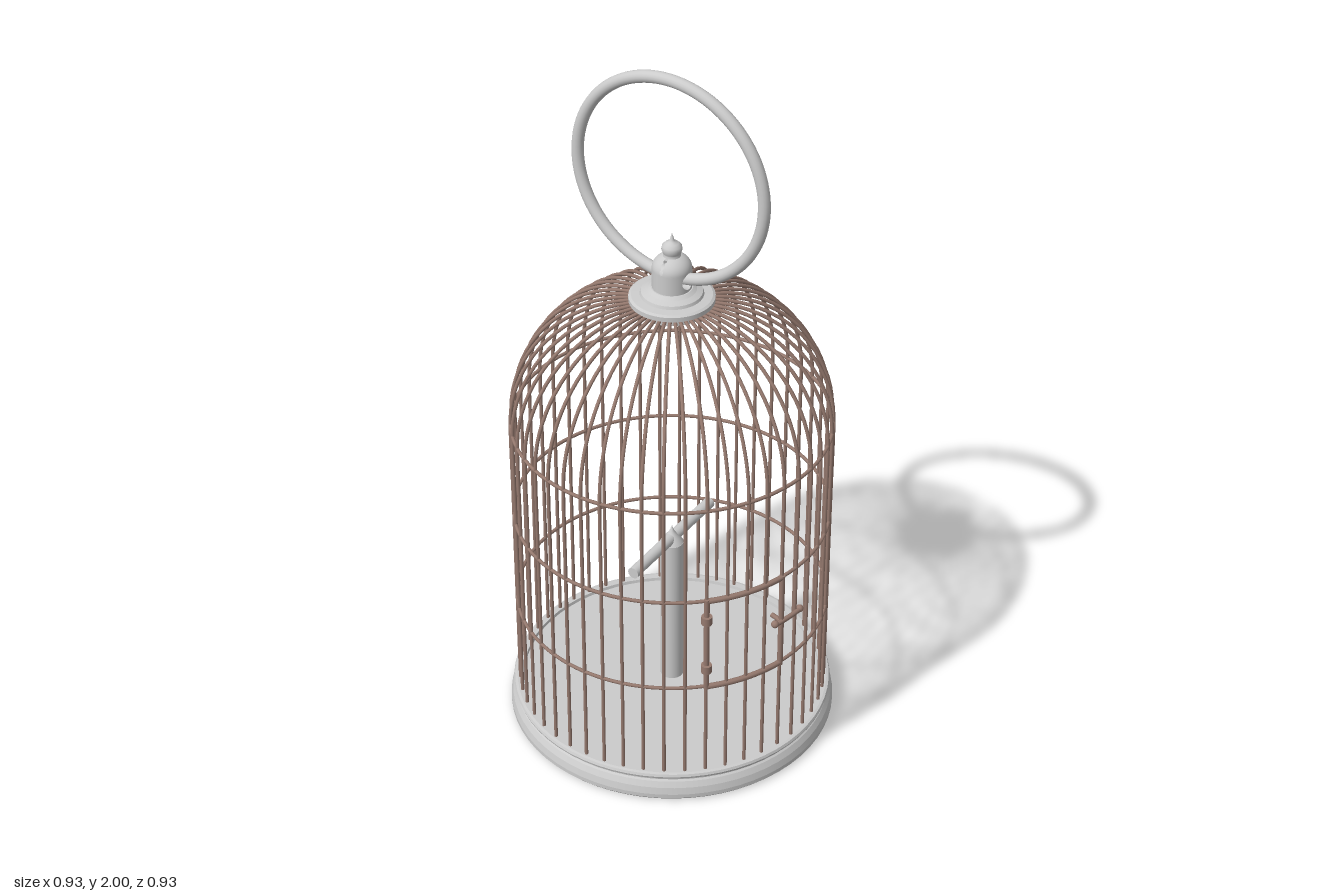
import * as THREE from 'three';
import { ParametricGeometry } from 'three/addons/geometries/ParametricGeometry.js';

const R = 0.437;          // cage radius
const BARS = 48;
const DOOR = { a0: Math.PI / 12, a1: Math.PI / 4, y0: 0.38, y1: 0.672 };

export function createModel() {
  const model = new THREE.Group();
  model.name = 'birdcage';
  const grey = new THREE.MeshStandardMaterial({ color: 0xcccccc });
  const greyThin = new THREE.MeshStandardMaterial({ color: 0xcccccc, side: THREE.DoubleSide });
  const wire = new THREE.MeshStandardMaterial({ color: 0x967a6f });

  const add = (name, geometry, material, parent = model) => {
    const mesh = new THREE.Mesh(geometry, material);
    mesh.name = name;
    parent.add(mesh);
    return mesh;
  };
  const group = (name) => {
    const g = new THREE.Group();
    g.name = name;
    model.add(g);
    return g;
  };
  // Lathe with sharp corners: each point pair is its own smooth band
  const lathe = (name, points, material = grey) => {
    const g = group(name);
    for (let i = 0; i + 1 < points.length; i++) {
      const pair = [points[i], points[i + 1]].map((p) => new THREE.Vector2(...p));
      add(name + 'Band', new THREE.LatheGeometry(pair, 64), material, g);
    }
    return g;
  };
  // Point on the cage wall; angle runs from +x towards +z
  const onWall = (a, y, r = R) => new THREE.Vector3(r * Math.cos(a), y, r * Math.sin(a));
  const arcTube = (a0, a1, y, r, thick, steps = 16) => {
    const pts = [];
    for (let i = 0; i <= steps; i++) pts.push(onWall(a0 + (a1 - a0) * i / steps, y, r));
    return new THREE.TubeGeometry(new THREE.CatmullRomCurve3(pts), steps, thick, 8);
  };

  // Base tray with moulded rim and floor
  lathe('baseTray', [[0, 0], [0.458, 0], [0.465, 0.008], [0.465, 0.02], [0.46, 0.04], [0.451, 0.056],
    [0.446, 0.06], [0.446, 0.066], [0.454, 0.07], [0.456, 0.076], [0.453, 0.083],
    [0.446, 0.085], [0.428, 0.085], [0.426, 0.076], [0, 0.076]]);

  // Upright bars bending over into the dome
  const barPoints = [];
  for (let i = 0; i <= 4; i++) barPoints.push(new THREE.Vector3(R, 0.07 + 0.895 * i / 4, 0));
  for (let i = 1; i <= 12; i++) {
    const t = i / 12 * Math.PI / 2;
    barPoints.push(new THREE.Vector3(0.085 + 0.352 * Math.cos(t), 0.965 + 0.372 * Math.sin(t), 0));
  }
  const barGeometry = new THREE.TubeGeometry(new THREE.CatmullRomCurve3(barPoints), 48, 0.005, 8);
  const bars = group('bars');
  for (let i = 0; i < BARS; i++) {
    add('bar', barGeometry, wire, bars).rotation.y = i / BARS * Math.PI * 2;
  }

  // Horizontal hoops
  const hoops = group('hoops');
  for (const y of [0.38, 0.672, 0.965]) {
    const hoop = add('hoop', new THREE.TorusGeometry(R, 0.005, 8, 96), wire, hoops);
    hoop.rotation.x = Math.PI / 2;
    hoop.position.y = y;
  }

  // Door frame, hinges and latch
  const door = group('door');
  for (const y of [DOOR.y0, DOOR.y1]) {
    add('doorRail', arcTube(DOOR.a0, DOOR.a1, y, R + 0.002, 0.008), wire, door);
  }
  for (const a of [DOOR.a0, DOOR.a1]) {
    const h = DOOR.y1 - DOOR.y0 + 0.012;
    add('doorStile', new THREE.CylinderGeometry(0.008, 0.008, h, 10), wire, door)
      .position.copy(onWall(a, (DOOR.y0 + DOOR.y1) / 2, R + 0.002));
  }
  for (const y of [0.445, 0.61]) {
    const hinge = add('hinge', new THREE.CylinderGeometry(0.015, 0.015, 0.024, 14), wire, door);
    hinge.position.copy(onWall(DOOR.a1, y, R + 0.003));
  }
  add('latchBar', arcTube(0.1, 0.32, 0.527, R + 0.008, 0.007, 8), wire, door);
  for (const a of [0.1, 0.32]) {
    const knob = add('latchKnob', new THREE.SphereGeometry(0.011, 12, 8), wire, door);
    knob.position.copy(onWall(a, 0.527, R + 0.006));
  }
  const catchPin = add('latchCatch', new THREE.CylinderGeometry(0.007, 0.007, 0.04, 10), wire, door);
  catchPin.position.copy(onWall(0.27, 0.527, R - 0.01));
  catchPin.rotation.set(0, -0.27, Math.PI / 2);

  // Perch on a post with a pointed tip
  const post = add('perchPost', new THREE.CylinderGeometry(0.033, 0.033, 0.474, 32), grey);
  post.position.y = 0.309;
  const cap = add('postTip', new THREE.LatheGeometry([[0.033, 0.545], [0.023, 0.562], [0.012, 0.575],
    [0.006, 0.585], [0, 0.602]].map((p) => new THREE.Vector2(...p)), 32), grey);
  cap.name = 'postTip';
  const perch = add('perchBar', new THREE.CylinderGeometry(0.0165, 0.0165, 0.392, 24), grey);
  perch.rotation.x = Math.PI / 2;
  perch.position.y = 0.56;

  // Crown collar, open underneath
  lathe('crownCollar', [[0, 1.352], [0.098, 1.352], [0.098, 1.326], [0.106, 1.326], [0.106, 1.34],
    [0.115, 1.343], [0.115, 1.356], [0.108, 1.36], [0.085, 1.362], [0.082, 1.37], [0.066, 1.377],
    [0.056, 1.384], [0, 1.386]], greyThin);

  // Round hanger knob with a crosswise eye for the ring
  const holeY = 1.415, holeR = 0.024, knobR = 0.053, low = 1.375, shoulder = 1.44, top = 1.482;
  const radiusAt = (y) => y <= shoulder ? knobR
    : knobR * Math.sqrt(Math.max(0, 1 - ((y - shoulder) / (top - shoulder)) ** 2));
  const outline = new THREE.Shape();
  outline.moveTo(knobR, holeY).lineTo(knobR, shoulder);
  for (let i = 1; i <= 16; i++) {
    const t = i / 16 * Math.PI;
    outline.lineTo(knobR * Math.cos(t), shoulder + (top - shoulder) * Math.sin(t));
  }
  outline.lineTo(-knobR, low).lineTo(knobR, low).lineTo(knobR, holeY);
  const knobPoint = (u, t, side, target) => {
    const edge = outline.getPointAt(u);
    const a = Math.atan2(edge.y - holeY, edge.x);
    const z = THREE.MathUtils.lerp(holeR * Math.cos(a), edge.x, t);
    const y = THREE.MathUtils.lerp(holeY + holeR * Math.sin(a), edge.y, t);
    target.set(side * Math.sqrt(Math.max(0, radiusAt(y) ** 2 - z * z)), y, z);
  };
  const hanger = group('hangerKnob');
  for (const side of [1, -1]) {
    add('knobHalf', new ParametricGeometry((u, v, p) =>
      knobPoint(side > 0 ? 1 - u : u, Math.sin(v * Math.PI / 2), side, p), 64, 14), greyThin, hanger);
  }
  add('knobEye', new ParametricGeometry((u, v, p) => {
    const a = u * Math.PI * 2, z = holeR * Math.cos(a), y = holeY + holeR * Math.sin(a);
    p.set((2 * v - 1) * Math.sqrt(radiusAt(y) ** 2 - z * z), y, z);
  }, 32, 2), greyThin, hanger);

  // Finial above the knob
  const finial = [[0.026, 1.472], [0.022, 1.482], [0.024, 1.487], [0.028, 1.497], [0.026, 1.507],
    [0.018, 1.515], [0.009, 1.519], [0.006, 1.525], [0, 1.545]];
  add('finial', new THREE.LatheGeometry(finial.map((p) => new THREE.Vector2(...p)), 32), grey);

  // Carrying ring through the eye
  const ring = add('carryingRing', new THREE.TorusGeometry(0.284, 0.0165, 16, 96), grey);
  ring.position.set(-0.008, 1.6995, 0);

  return model;
}
